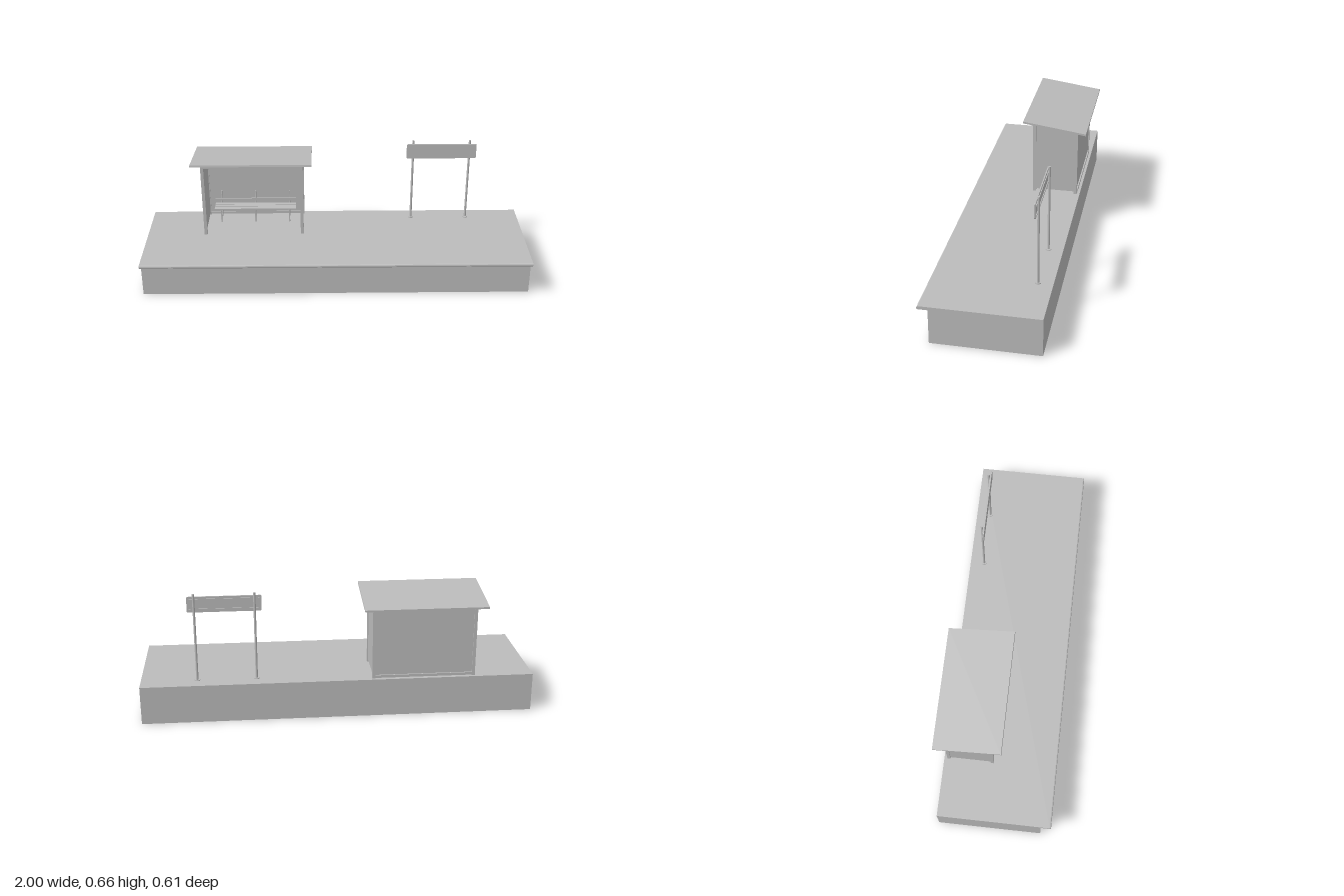
import * as THREE from 'three';

const grey = new THREE.MeshStandardMaterial({ color: 0xbbbbbb });
grey.name = 'plain grey';
grey.side = THREE.DoubleSide;

function add(parent, name, geometry) {
  const mesh = new THREE.Mesh(geometry, grey);
  mesh.name = name;
  parent.add(mesh);
  return mesh;
}

// Box given by its limits on each axis
function box(parent, name, x0, x1, y0, y1, z0, z1) {
  const mesh = add(parent, name, new THREE.BoxGeometry(x1 - x0, y1 - y0, z1 - z0));
  mesh.position.set((x0 + x1) / 2, (y0 + y1) / 2, (z0 + z1) / 2);
  return mesh;
}

// Side profile of [z, y] points, extruded along x
function slab(parent, name, points, x0, x1) {
  const shape = new THREE.Shape(points.map(([z, y]) => new THREE.Vector2(-z, y)));
  const geo = new THREE.ExtrudeGeometry(shape, { depth: x1 - x0, bevelEnabled: false });
  geo.rotateY(Math.PI / 2);
  geo.translate(x0, 0, 0);
  return add(parent, name, geo);
}

// Round bar between two points
function bar(parent, name, from, to, radius, sides = 10) {
  const a = new THREE.Vector3(...from), b = new THREE.Vector3(...to);
  const dir = b.clone().sub(a);
  const mesh = add(parent, name, new THREE.CylinderGeometry(radius, radius, dir.length(), sides));
  mesh.position.copy(a).add(b).multiplyScalar(0.5);
  mesh.quaternion.setFromUnitVectors(new THREE.Vector3(0, 1, 0), dir.normalize());
}

function platform() {
  const g = new THREE.Group();
  g.name = 'platform';
  const profile = [[-0.275, 0], [-0.275, 0.199], [0.3, 0.199], [0.305, 0.197], [0.307, 0.193],
    [0.307, 0.187], [0.305, 0.183], [0.301, 0.182], [0.255, 0.182], [0.257, 0]];
  // Hollow shell, open underneath
  const plane = new THREE.PlaneGeometry(2, 1, 1, profile.length - 1);
  const pos = plane.attributes.position;
  profile.forEach(([z, y], i) => {
    pos.setXYZ(i * 2, -1, y, z);
    pos.setXYZ(i * 2 + 1, 1, y, z);
  });
  const shell = plane.toNonIndexed();
  shell.computeVertexNormals();
  add(g, 'platformShell', shell);
  slab(g, 'platformEnd', profile, 0.997, 1);
  slab(g, 'platformEnd', profile, -1, -0.997);
  return g;
}

function shelter() {
  const g = new THREE.Group();
  g.name = 'shelter';
  const L = -0.7, R = -0.17, w = 0.016;
  for (const x of [L, R - w]) {
    box(g, 'frontPost', x, x + w, 0.199, 0.608, -0.034, -0.018);
    box(g, 'backPost', x, x + w, 0.199, 0.575, -0.259, -0.243);
    // Side wall with a sloping top
    slab(g, 'sidePanel', [[-0.034, 0.212], [-0.034, 0.606], [-0.243, 0.577], [-0.243, 0.212]],
      x + 0.005, x + 0.011);
  }
  box(g, 'backPanel', L + w, R - w, 0.212, 0.575, -0.254, -0.248);
  box(g, 'backBottomRail', L + w, R - w, 0.202, 0.216, -0.261, -0.245);
  box(g, 'backTopRail', L + w, R - w, 0.562, 0.575, -0.258, -0.244);
  box(g, 'frontBeam', L + w, R - w, 0.586, 0.608, -0.032, -0.02);
  // Roof falling towards the back
  slab(g, 'roof', [[0.03, 0.618], [0.028, 0.628], [-0.305, 0.582], [-0.305, 0.572]], -0.747, -0.125);
  return g;
}

function bench() {
  const g = new THREE.Group();
  g.name = 'bench';
  const x0 = -0.655, x1 = -0.215;
  for (const z of [-0.165, -0.19, -0.215]) {
    box(g, 'seatSlat', x0, x1, 0.273, 0.28, z - 0.011, z + 0.011);
  }
  box(g, 'backrestSlat', x0, x1, 0.294, 0.308, -0.229, -0.223);
  for (const x of [-0.62, -0.435, -0.25]) {
    bar(g, 'benchFrontLeg', [x, 0.199, -0.158], [x, 0.275, -0.162], 0.0035, 8);
    bar(g, 'benchBackLeg', [x, 0.199, -0.226], [x, 0.35, -0.233], 0.0035, 8);
    box(g, 'seatBracket', x - 0.003, x + 0.003, 0.266, 0.273, -0.228, -0.158);
  }
  return g;
}

function sign() {
  const g = new THREE.Group();
  g.name = 'sign';
  // Board with softly rounded corners
  const x0 = 0.38, x1 = 0.75, y0 = 0.56, y1 = 0.641, r = 0.007;
  const s = new THREE.Shape();
  s.absarc(x1 - r, y1 - r, r, 0, Math.PI / 2);
  s.absarc(x0 + r, y1 - r, r, Math.PI / 2, Math.PI);
  s.absarc(x0 + r, y0 + r, r, Math.PI, Math.PI * 1.5);
  s.absarc(x1 - r, y0 + r, r, Math.PI * 1.5, Math.PI * 2);
  const board = new THREE.ExtrudeGeometry(s, { depth: 0.006, bevelEnabled: false, curveSegments: 4 });
  board.translate(0, 0, -0.193);
  add(g, 'signBoard', board);
  for (const y of [0.575, 0.626]) {
    box(g, 'signRail', 0.39, 0.74, y - 0.004, y + 0.004, -0.197, -0.193);
  }
  for (const x of [0.415, 0.715]) {
    bar(g, 'signPost', [x, 0.199, -0.201], [x, 0.658, -0.201], 0.006, 12);
    bar(g, 'signPostBase', [x, 0.199, -0.201], [x, 0.203, -0.201], 0.014, 16);
  }
  return g;
}

export function createModel() {
  const model = new THREE.Group();
  model.name = 'stationPlatform';
  model.add(platform(), shelter(), bench(), sign());
  return model;
}
